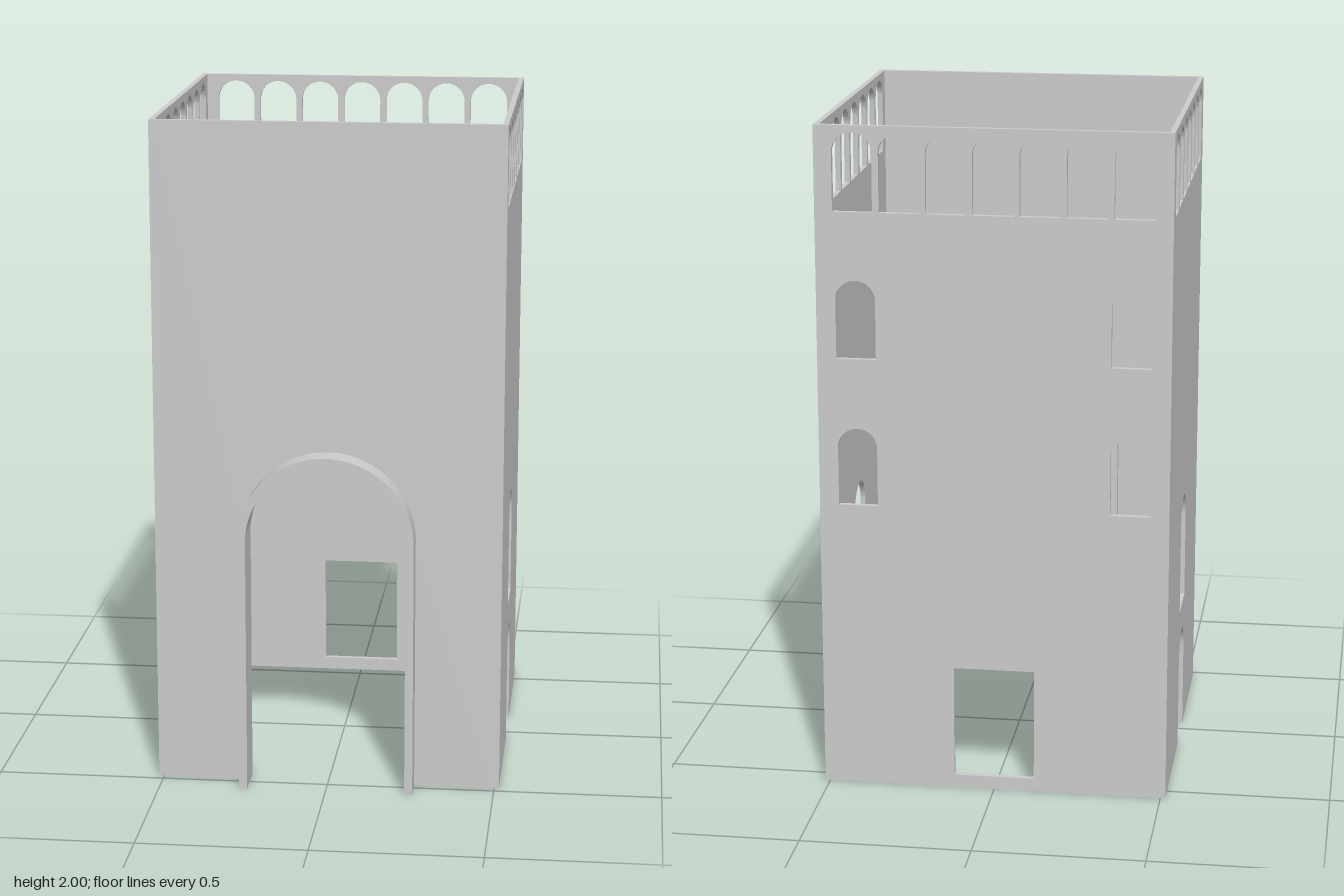
import * as THREE from 'three';
import { toCreasedNormals } from 'three/addons/utils/BufferGeometryUtils.js';

const HEIGHT = 2, HALF = 0.515, T = 0.016;
const FRONT = 0.48, BACK = -0.555, MID = (FRONT + BACK) / 2;

// Round-topped opening
function archHole(cx, r, y0, y1) {
  const p = new THREE.Path();
  p.moveTo(cx - r, y0);
  p.lineTo(cx + r, y0);
  p.lineTo(cx + r, y1 - r);
  p.absarc(cx, y1 - r, r, 0, Math.PI, false);
  p.closePath();
  return p;
}

// Wall outline, optionally notched by an arched doorway at ground level
function wallShape(half, doorR, doorTop) {
  const s = new THREE.Shape();
  s.moveTo(-half, 0);
  if (doorR) {
    s.lineTo(-doorR, 0);
    s.lineTo(-doorR, doorTop - doorR);
    s.absarc(0, doorTop - doorR, doorR, Math.PI, 0, true);
    s.lineTo(doorR, 0);
  }
  s.lineTo(half, 0);
  s.lineTo(half, HEIGHT);
  s.lineTo(-half, HEIGHT);
  s.closePath();
  return s;
}

// Row of seven arches under the rim
function addArcade(shape) {
  for (let i = -3; i <= 3; i++) shape.holes.push(archHole(i * 0.135, 0.058, 1.75, 1.98));
}

export function createModel() {
  const group = new THREE.Group();
  const material = new THREE.MeshStandardMaterial({ color: 0xcccccc });

  function add(name, shape, depth) {
    const geo = new THREE.ExtrudeGeometry(shape, { depth, bevelEnabled: false, curveSegments: 24 });
    const mesh = new THREE.Mesh(toCreasedNormals(geo, 0.6), material);
    mesh.name = name;
    group.add(mesh);
    return mesh;
  }

  // Front wall with the great arch cut through
  add('frontWall', wallShape(HALF - T, 0.25, 1.02), T).position.z = FRONT - T;

  // Back wall: arcade, four small windows and a square opening
  const back = wallShape(HALF - T);
  addArcade(back);
  for (const x of [-0.4, 0.4])
    for (const y of [0.875, 1.317]) back.holes.push(archHole(x, 0.058, y, y + 0.233));
  const square = new THREE.Path();
  square.moveTo(-0.12, 0.04);
  square.lineTo(0.12, 0.04);
  square.lineTo(0.12, 0.38);
  square.lineTo(-0.12, 0.38);
  square.closePath();
  back.holes.push(square);
  add('backWall', back, T).position.z = BACK;

  // Side walls: arcade, arched window and arched door
  for (const [name, x] of [['leftWall', HALF - T], ['rightWall', -HALF]]) {
    const side = wallShape((FRONT - BACK) / 2, 0.087, 0.35);
    side.holes.push(archHole(0, 0.087, 0.435, 0.785));
    addArcade(side);
    const mesh = add(name, side, T);
    mesh.rotation.y = Math.PI / 2;
    mesh.position.set(x, 0, MID);
  }

  // Projecting frame around the great arch
  const spring = 0.77, outer = 0.26, inner = 0.236;
  const frame = new THREE.Shape();
  frame.moveTo(outer, 0);
  frame.lineTo(outer, spring);
  frame.absarc(0, spring, outer, 0, Math.PI, false);
  frame.lineTo(-outer, 0);
  frame.lineTo(-inner, 0);
  frame.lineTo(-inner, spring);
  frame.absarc(0, spring, inner, Math.PI, 0, true);
  frame.lineTo(inner, 0);
  frame.closePath();
  add('archFrame', frame, 0.12).position.z = 0.435;

  return group;
}
